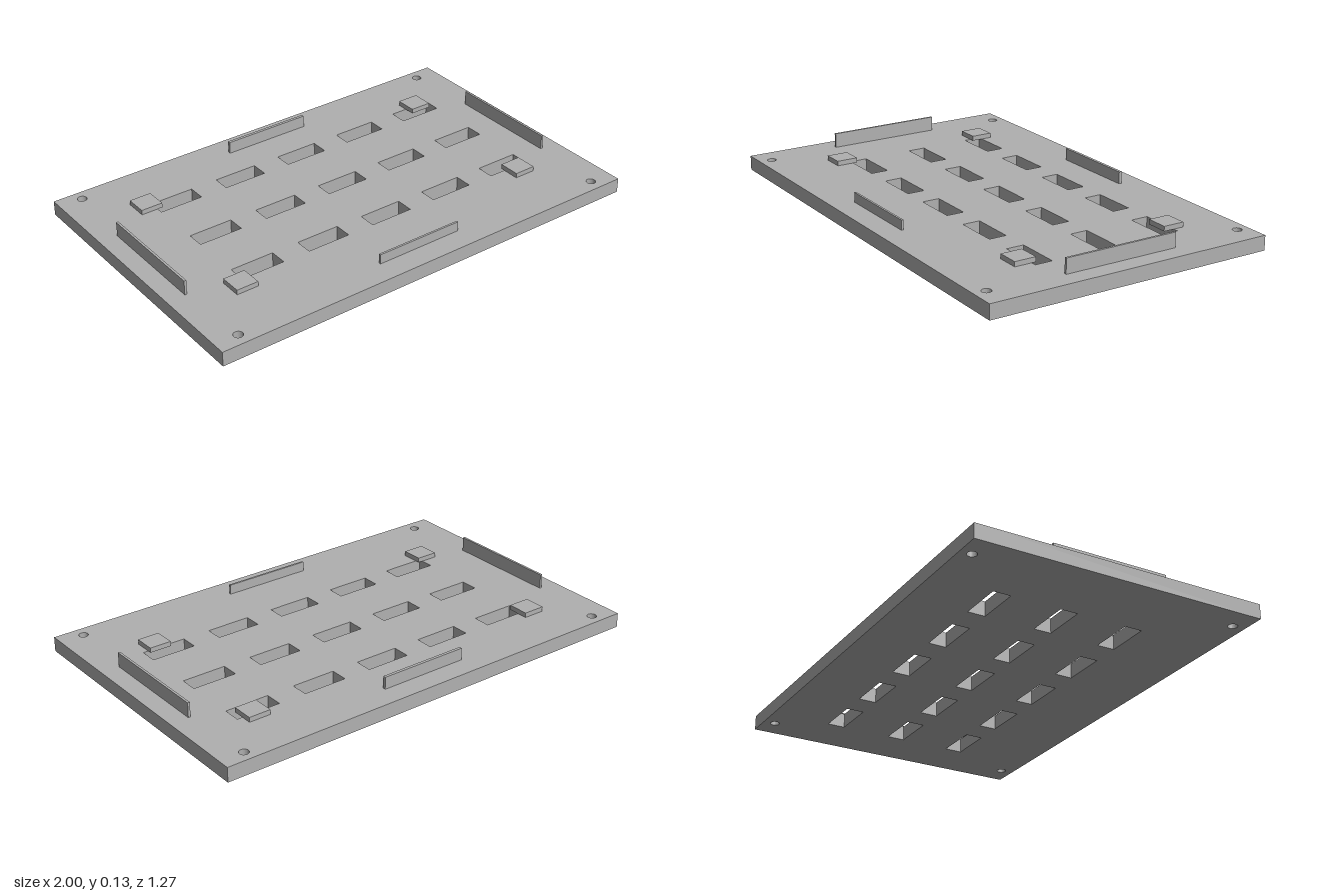
import * as THREE from 'three';

const TOP = 0.064; // top face of the plate

export function createModel() {
  const model = new THREE.Group();
  const grey = new THREE.MeshStandardMaterial({ color: 0xb0b0b0 });
  grey.name = 'plain grey';

  const add = (name, geometry) => {
    const mesh = new THREE.Mesh(geometry, grey);
    mesh.name = name;
    model.add(mesh);
    return mesh;
  };

  // Box standing on the plate, centred on x, z
  const addBlock = (name, w, h, d, x, z) =>
    add(name, new THREE.BoxGeometry(w, h, d)).position.set(x, TOP + h / 2, z);

  // Rectangle path in plan, where shape y is -z
  const rect = (path, x, z, w, d) => {
    path.moveTo(x - w / 2, -z - d / 2);
    path.lineTo(x + w / 2, -z - d / 2);
    path.lineTo(x + w / 2, -z + d / 2);
    path.lineTo(x - w / 2, -z + d / 2);
    path.closePath();
    return path;
  };

  // Base plate with a 5 x 3 grid of slots and four corner screw holes
  const outline = rect(new THREE.Shape(), 0, 0, 2, 1.27);
  for (let i = 0; i < 5; i++) {
    for (let j = 0; j < 3; j++) {
      outline.holes.push(
        rect(new THREE.Path(), -0.588 + i * 0.3175, -0.338 + j * 0.297, 0.195, 0.077));
    }
  }
  for (const x of [-0.895, 0.893]) {
    for (const z of [-0.584, 0.58]) {
      outline.holes.push(new THREE.Path().absarc(x, -z, 0.02, 0, Math.PI * 2, true));
    }
  }
  const plate = new THREE.ExtrudeGeometry(outline, {
    depth: TOP, bevelEnabled: false, curveSegments: 24,
  });
  plate.rotateX(-Math.PI / 2);
  add('basePlate', plate);

  // Low square pads, partly overhanging the outer slots
  for (const x of [-0.711, 0.708]) {
    for (const z of [-0.376, 0.323]) addBlock('pad', 0.097, 0.021, 0.095, x, z);
  }

  // Thin upright ribs along the four edges
  for (const side of [-1, 1]) {
    addBlock(side < 0 ? 'rightRib' : 'leftRib', 0.01, 0.064, 0.507, side * 0.914, -0.001);
  }
  addBlock('frontRib', 0.394, 0.043, 0.009, -0.001, 0.529);
  addBlock('backRib', 0.394, 0.053, 0.013, -0.001, -0.533);

  return model;
}
